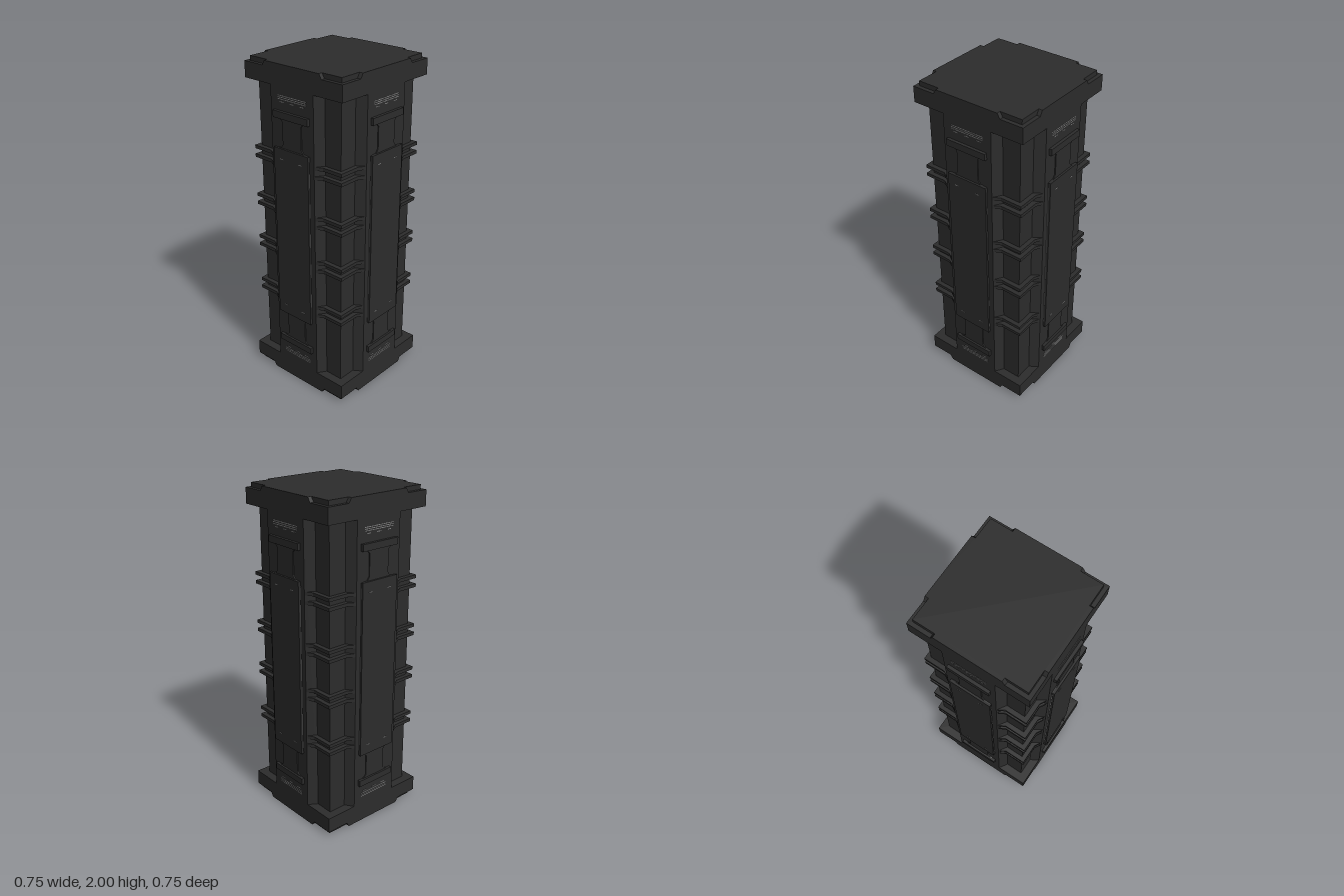
import * as THREE from 'three';

const dark = new THREE.MeshStandardMaterial({ color: 0x2c2c2c });
dark.name = 'charcoal';
const light = new THREE.MeshStandardMaterial({ color: 0x858585 });
light.name = 'pale grey';

const add = (parent, name, geometry, material = dark) => {
  const mesh = new THREE.Mesh(geometry, material);
  mesh.name = name;
  parent.add(mesh);
  return mesh;
};

// Box given by its centre and full sizes
const box = (x, y, z, w, h, d) => new THREE.BoxGeometry(w, h, d).translate(x, y, z);

const toShape = (pts) => new THREE.Shape(pts.map(([x, y]) => new THREE.Vector2(x, y)));

// Horizontal outline raised from y0 to y1
const slab = (pts, y0, y1) =>
  new THREE.ExtrudeGeometry(toShape(pts), { depth: y1 - y0, bevelEnabled: false })
    .rotateX(-Math.PI / 2).translate(0, y0, 0);

// Repeats a quarter outline around the centre
const fourfold = (quarter) => {
  const pts = [];
  for (let i = 0; i < 4; i++) {
    const c = Math.round(Math.cos(i * Math.PI / 2)), s = Math.round(Math.sin(i * Math.PI / 2));
    quarter.forEach(([x, y]) => pts.push([x * c - y * s, x * s + y * c]));
  }
  return pts;
};

function buildCap() {
  const cap = new THREE.Group();
  add(cap, 'capBlock', box(0, 1.925, 0, 0.716, 0.094, 0.716));
  add(cap, 'capPlate', box(0, 1.985, 0, 0.67, 0.03, 0.67));
  // Sloped-ended tabs on the four edges of the plate
  const tab = toShape([[-0.218, 1.97], [0.218, 1.97], [0.2, 2], [-0.2, 2]]);
  for (let i = 0; i < 4; i++) {
    add(cap, 'capTab', new THREE.ExtrudeGeometry(tab, { depth: 0.025, bevelEnabled: false })
      .translate(0, 0, 0.333).rotateY(i * Math.PI / 2));
  }
  return cap;
}

function buildFace() {
  const face = new THREE.Group();
  face.name = 'facePanel';
  // Raised panel floating over a pale backing
  add(face, 'panelBacking', box(0, 1, 0.361, 0.25, 1.0, 0.008), light);
  add(face, 'mainPanel', box(0, 1, 0.37, 0.258, 1.066, 0.012));
  for (const s of [1, -1]) {
    const y = (v) => 1 + s * (v - 1);
    // Narrow neck with flared ends
    const half = [[0.128, 1.5], [0.128, 1.53], [0.085, 1.535], [0.07, 1.555],
      [0.07, 1.685], [0.085, 1.7], [0.122, 1.71], [0.128, 1.73]];
    const outline = [...half, ...half.map(([a, b]) => [-a, b]).reverse()].map(([a, b]) => [a, y(b)]);
    add(face, 'panelNeck', new THREE.ExtrudeGeometry(toShape(outline), { depth: 0.008, bevelEnabled: false })
      .translate(0, 0, 0.356));
    add(face, 'panelEndBar', box(0, y(1.725), 0.366, 0.258, 0.04, 0.02));
    // Fine vent lines
    for (const v of [1.83, 1.82, 1.81])
      add(face, 'ventLine', box(0, y(v), 0.358, 0.21, 0.004, 0.002), light);
    for (const x of [-0.075, 0, 0.075])
      add(face, 'ventDash', box(x, y(1.795), 0.358, 0.03, 0.004, 0.002), light);
    for (const x of [-0.07, 0.07])
      add(face, 'panelMark', box(x, y(1.472), 0.376, 0.025, 0.004, 0.002), light);
  }
  return face;
}

export function createModel() {
  const model = new THREE.Group();
  model.name = 'pillar';

  // Shaft with a stepped notch at each corner
  add(model, 'shaft', slab(fourfold([
    [0.358, -0.158], [0.358, 0.158], [0.305, 0.192], [0.305, 0.305], [0.192, 0.305], [0.158, 0.358],
  ].slice(1)), 0.12, 1.885));

  // Caps at top and bottom
  const topCap = buildCap();
  topCap.name = 'topCap';
  const bottomCap = buildCap();
  bottomCap.name = 'bottomCap';
  bottomCap.rotation.x = Math.PI;
  bottomCap.position.y = 2;
  model.add(topCap, bottomCap);

  // Pairs of ribs wrapping each corner
  const rib = [[0.15, 0.15], [0.34, 0.15], [0.355, 0.16], [0.332, 0.2],
    [0.332, 0.332], [0.2, 0.332], [0.16, 0.355], [0.15, 0.34]];
  for (const y of [0.535, 0.588, 0.837, 0.89, 1.115, 1.168, 1.416, 1.47]) {
    for (let i = 0; i < 4; i++)
      add(model, 'cornerRib', slab(rib, y - 0.01, y + 0.01).rotateY(i * Math.PI / 2));
  }

  // Panels on all four sides
  for (let i = 0; i < 4; i++) {
    const face = buildFace();
    face.rotation.y = i * Math.PI / 2;
    model.add(face);
  }
  return model;
}
